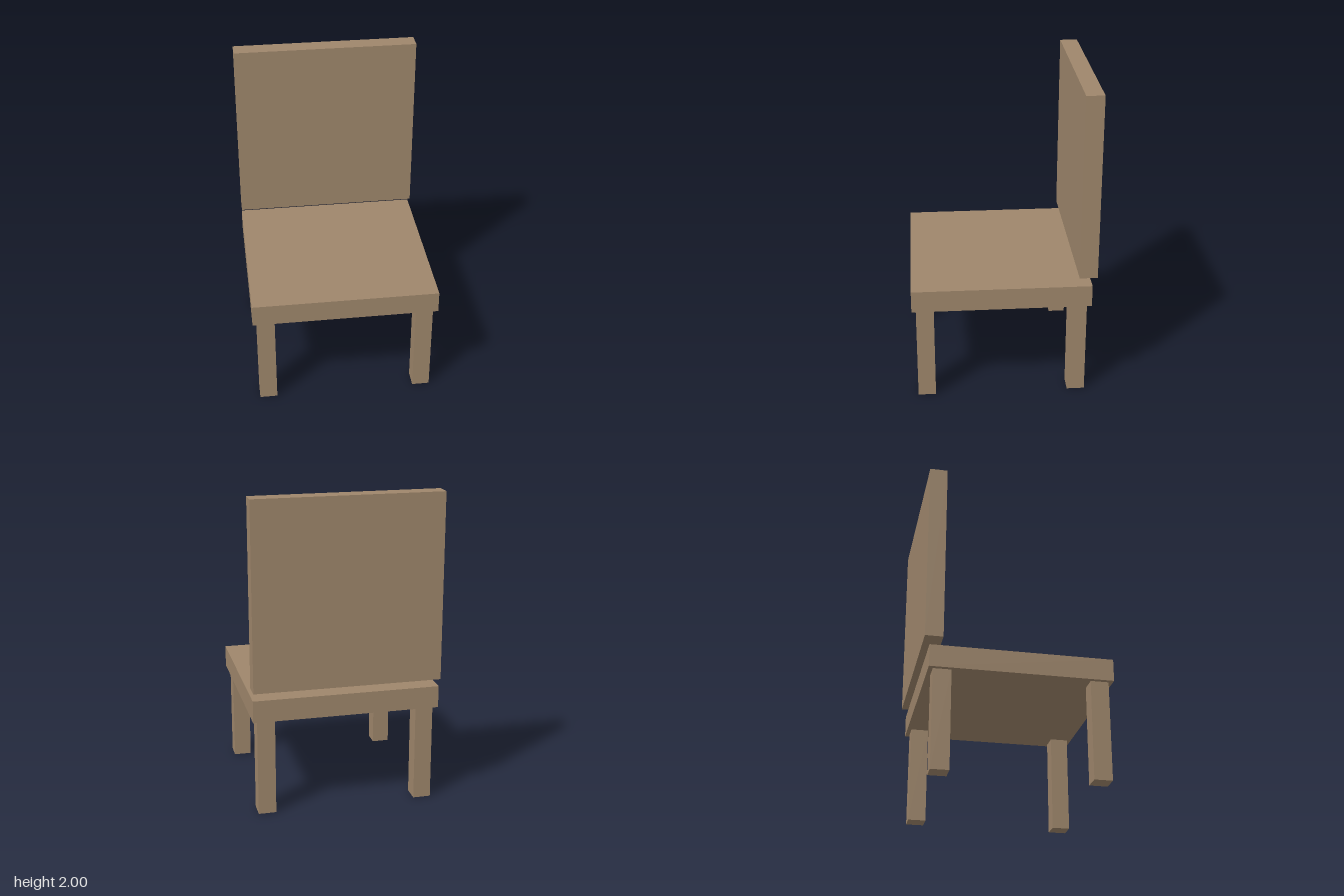
import * as THREE from 'three';

export function createModel() {
  const chair = new THREE.Group();
  chair.name = 'chair';
  const wood = new THREE.MeshStandardMaterial({ color: 0x9e866b });

  // Box placed by its centre in x and z and by its bottom in y
  const addBox = (name, [w, h, d], [x, bottom, z]) => {
    const mesh = new THREE.Mesh(new THREE.BoxGeometry(w, h, d), wood);
    mesh.name = name;
    mesh.position.set(x, bottom + h / 2, z);
    chair.add(mesh);
  };

  const legHeight = 0.623;
  const seatZ = 0.015;

  // Seat slab
  addBox('seat', [1.182, 0.14, 1.125], [0, legHeight, seatZ]);

  // Backrest panel, floating just above the rear edge of the seat
  addBox('backrest', [1.182, 1.18, 0.112], [0, 0.82, -0.521]);

  // Four square legs, set in slightly from the seat corners
  for (const [side, x] of [['Left', 0.507], ['Right', -0.507]]) {
    for (const [end, dz] of [['front', 0.48], ['back', -0.48]]) {
      addBox(`${end}${side}Leg`, [0.112, legHeight, 0.112], [x, 0, seatZ + dz]);
    }
  }

  return chair;
}
